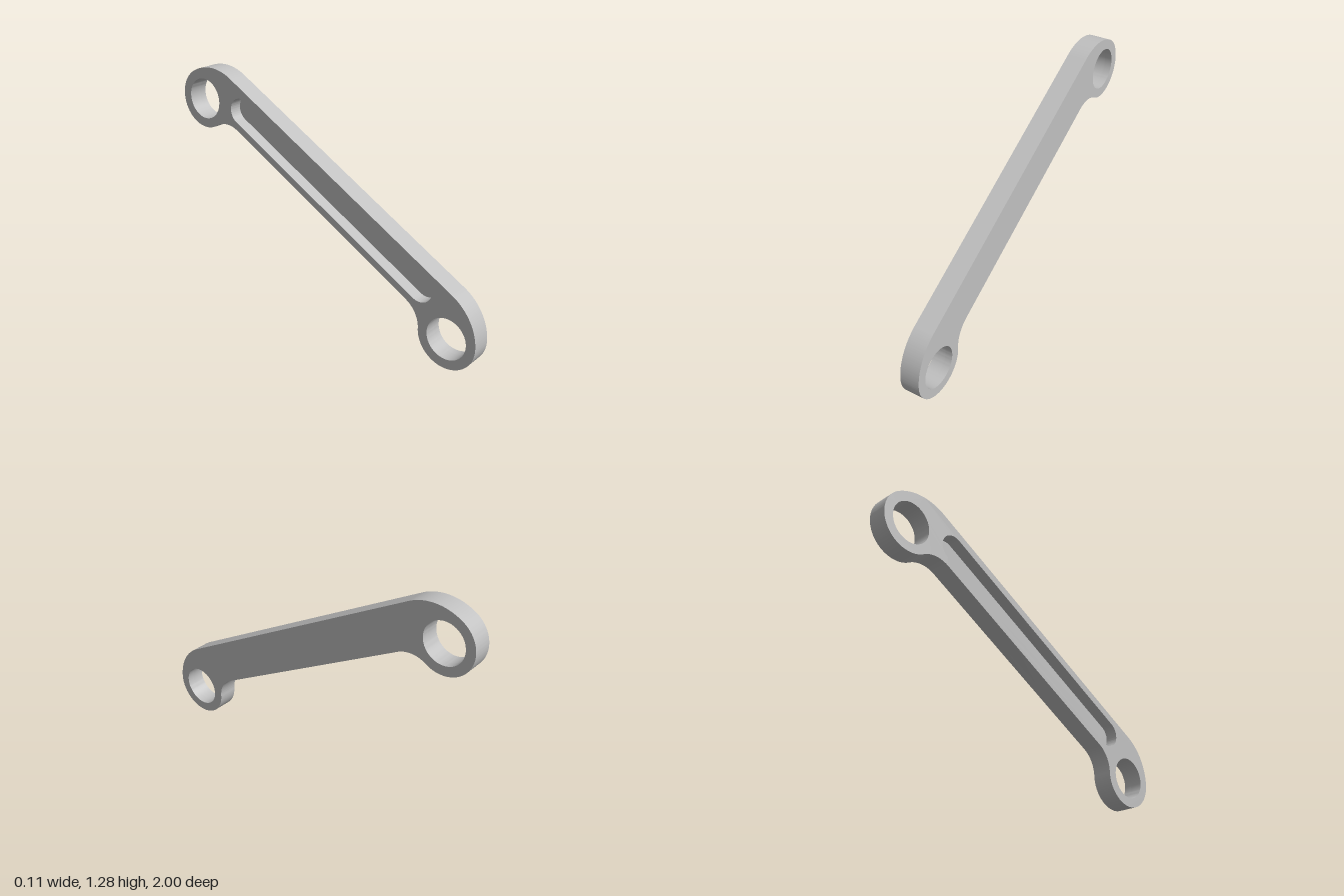
import * as THREE from 'three';
import { mergeGeometries, toCreasedNormals } from 'three/addons/utils/BufferGeometryUtils.js';

const TILT = THREE.MathUtils.degToRad(29.2); // slope of the arm
const HALF = 0.953;       // half the distance between the ring centres
const RING = 0.168, HOLE = 0.115;
const SHOULDER = 0.29;    // large blend above each ring
const FILLET = 0.16;      // concave blend below each ring
const THICK = 0.112, POCKET = 0.07;
const SEGMENTS = 40;

// Link outline, symmetric about its middle, with the two bores
function linkShape() {
  const c = Math.cos(TILT), s = Math.sin(TILT), q = Math.PI / 2;
  const f = RING + FILLET, b = SHOULDER - RING;
  const shape = new THREE.Shape();
  shape.absarc(-HALF, 0, RING, Math.PI - TILT, 2 * Math.PI - TILT, false);
  shape.absarc(-HALF + f * c, -f * s, FILLET, Math.PI - TILT, q, true);
  shape.absarc(HALF - f * c, -f * s, FILLET, q, TILT, true);
  shape.absarc(HALF, 0, RING, Math.PI + TILT, 2 * Math.PI + TILT, false);
  shape.absarc(HALF - b * c, -b * s, SHOULDER, TILT, q, false);
  shape.absarc(-HALF + b * c, -b * s, SHOULDER, q, Math.PI - TILT, false);
  shape.closePath();
  for (const x of [-HALF, HALF]) {
    shape.holes.push(new THREE.Path().absarc(x, 0, HOLE, 0, Math.PI * 2, true));
  }
  return shape;
}

// Round-ended slot along the arm
function slotShape() {
  const r = 0.075, x = 0.695, y = 0.115, q = Math.PI / 2;
  const shape = new THREE.Shape();
  shape.absarc(x, y, r, -q, q, false);
  shape.absarc(-x, y, r, q, 3 * q, false);
  shape.closePath();
  return shape;
}

// Side walls only, without caps
function walls(shape, depth, z) {
  const full = new THREE.ExtrudeGeometry(shape, { depth, bevelEnabled: false, curveSegments: SEGMENTS });
  const { start, count } = full.groups[1];
  const geo = new THREE.BufferGeometry();
  for (const name of ['position', 'normal', 'uv']) {
    const a = full.attributes[name];
    const part = a.array.slice(start * a.itemSize, (start + count) * a.itemSize);
    geo.setAttribute(name, new THREE.BufferAttribute(part, a.itemSize));
  }
  return toCreasedNormals(geo.translate(0, 0, z), 0.5);
}

// Flat face; the shapes are symmetric, so a half turn flips them in place
function face(shape, z, flipped) {
  const geo = new THREE.ShapeGeometry(shape, SEGMENTS);
  if (flipped) geo.rotateY(Math.PI);
  return geo.translate(0, 0, z).toNonIndexed();
}

export function createModel() {
  const grey = new THREE.MeshStandardMaterial({ color: 0xc0c0c0 });
  grey.name = 'light grey metal';

  const plain = linkShape();
  const pocketed = linkShape();
  pocketed.holes.push(slotShape());
  const h = THICK / 2;

  const group = new THREE.Group();
  group.name = 'linkArm';
  const add = (name, geo) => {
    geo.rotateZ(TILT).translate(0, RING + HALF * Math.sin(TILT), 0).rotateY(Math.PI / 2);
    const mesh = new THREE.Mesh(geo, grey);
    mesh.name = name;
    group.add(mesh);
  };

  // Arm with its end rings; the recess opens on the -x side
  add('armBody', mergeGeometries([
    walls(pocketed, POCKET, -h),
    walls(plain, THICK - POCKET, -h + POCKET),
    face(plain, h, false),
    face(pocketed, -h, true),
  ]));
  add('pocketFloor', face(slotShape(), -h + POCKET, true));
  return group;
}
